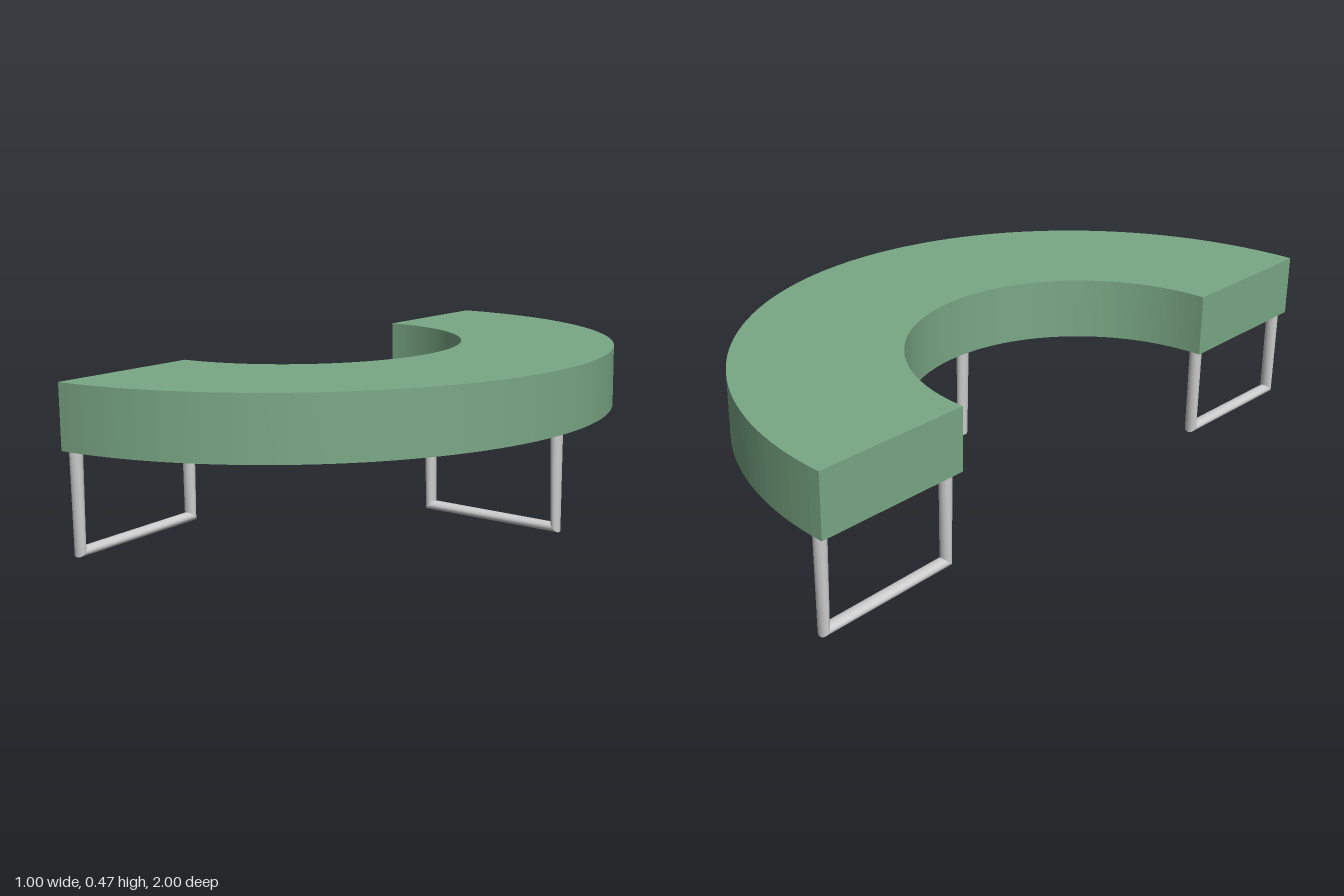
import * as THREE from 'three';
import { mergeGeometries } from 'three/addons/utils/BufferGeometryUtils.js';

const SIDES = 16;
const TUBE_DEPTH = 0.019; // half thickness across the frame

// Stations of the U-shaped leg frame: outside edge and inside edge [x, y]
const STATIONS = [
  { out: [0.486, 0.305], ins: [0.45, 0.305] },
  { out: [0.482, 0.002], ins: [0.457, 0.029] },
  { out: [0.028, 0.009], ins: [0.055, 0.036] },
  { out: [0.022, 0.305], ins: [0.058, 0.305] },
];

// Elliptical ring lying on the mitre plane of a station
function ring({ out, ins }) {
  const points = [];
  for (let i = 0; i < SIDES; i++) {
    const a = (i / SIDES) * Math.PI * 2;
    const k = (1 + Math.cos(a)) / 2;
    points.push(
      THREE.MathUtils.lerp(out[0], ins[0], k),
      THREE.MathUtils.lerp(out[1], ins[1], k),
      Math.sin(a) * TUBE_DEPTH
    );
  }
  return points;
}

// One straight tube between two stations
function tubeBetween(a, b) {
  const index = [];
  for (let i = 0; i < SIDES; i++) {
    const j = (i + 1) % SIDES;
    index.push(i, SIDES + i, SIDES + j, i, SIDES + j, j);
  }
  const geometry = new THREE.BufferGeometry();
  geometry.setAttribute('position', new THREE.Float32BufferAttribute([...ring(a), ...ring(b)], 3));
  geometry.setIndex(index);
  geometry.computeVertexNormals();
  return geometry;
}

export function createModel() {
  const model = new THREE.Group();
  model.name = 'curvedBench';
  const fabric = new THREE.MeshStandardMaterial({ color: 0x7aa885 });
  const metal = new THREE.MeshStandardMaterial({ color: 0xcccccc, side: THREE.DoubleSide });

  // Half-ring upholstered seat
  const shape = new THREE.Shape();
  shape.absarc(0, 0, 1, -Math.PI / 2, Math.PI / 2, false);
  shape.absarc(0, 0, 0.52, Math.PI / 2, -Math.PI / 2, true);
  shape.closePath();
  const seatGeometry = new THREE.ExtrudeGeometry(shape, {
    depth: 0.186, bevelEnabled: false, curveSegments: 40,
  });
  seatGeometry.rotateX(-Math.PI / 2);
  const seat = new THREE.Mesh(seatGeometry, fabric);
  seat.name = 'seat';
  seat.position.set(-0.5, 0.291, 0);
  model.add(seat);

  // Three tubular leg frames, one at the middle and one at each end
  const frame = mergeGeometries([0, 1, 2].map((i) => tubeBetween(STATIONS[i], STATIONS[i + 1])));
  const addLeg = (name, x, z, turn) => {
    const leg = new THREE.Mesh(frame, metal);
    leg.name = name;
    leg.position.set(x, 0, z);
    leg.rotation.y = turn;
    model.add(leg);
  };
  addLeg('middleLegFrame', 0, 0.045, 0);
  addLeg('frontLegFrame', -0.465, 0.513, -Math.PI / 2);
  addLeg('backLegFrame', -0.465, -0.508, Math.PI / 2);

  return model;
}
